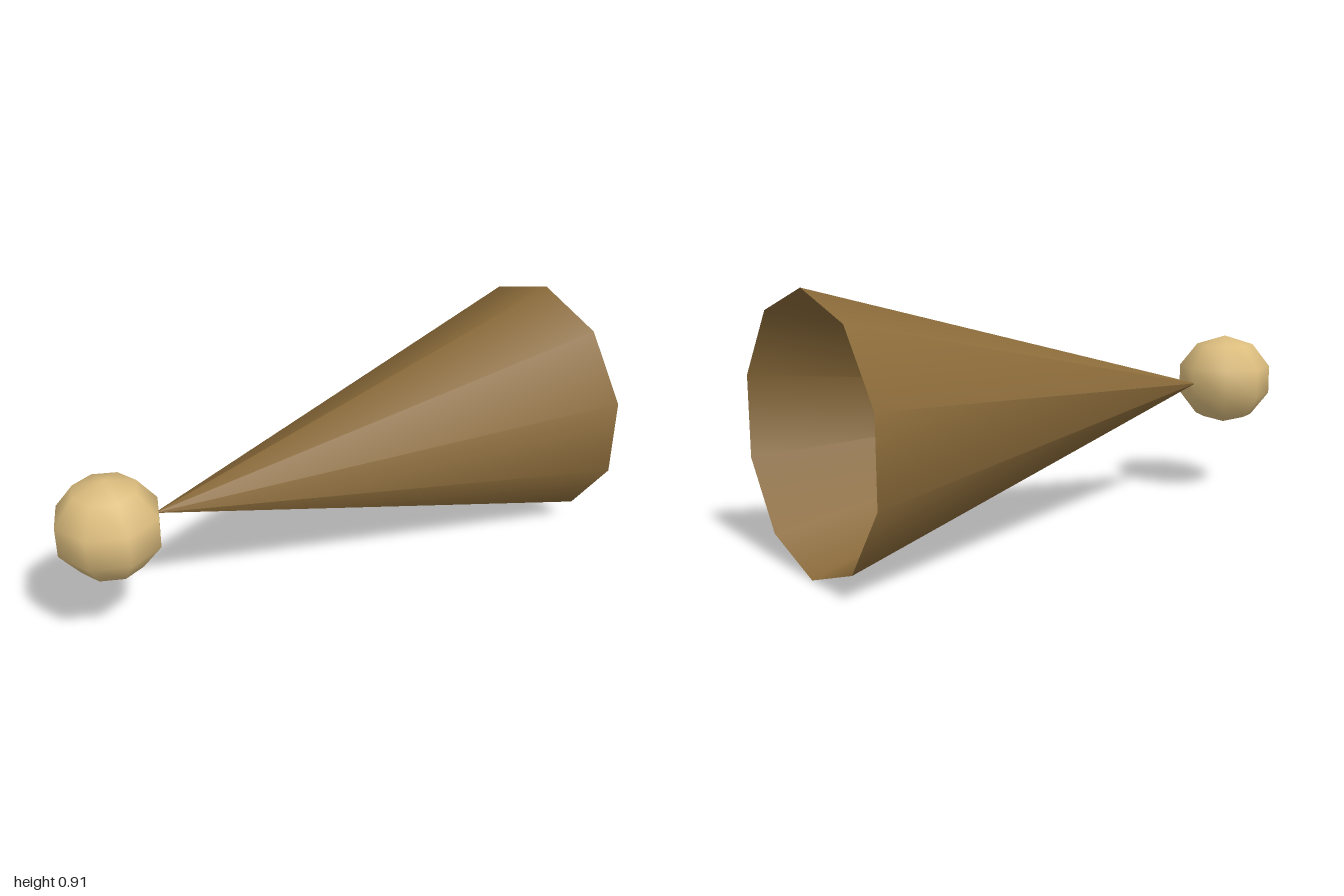
import * as THREE from 'three';

export function createModel() {
  const group = new THREE.Group();
  const axisY = 0.4535; // height of the shared centre line

  const wood = new THREE.MeshStandardMaterial({ color: 0x8b6b3a, side: THREE.DoubleSide });
  wood.name = 'brown';
  const pale = new THREE.MeshStandardMaterial({ color: 0xdcbd7e });
  pale.name = 'paleTan';

  // Open ten-sided cone: apex towards -x, mouth at x = 1, one corner straight up
  const tipX = -0.66;
  const length = 1 - tipX;
  const coneGeometry = new THREE.ConeGeometry(axisY, length, 10, 1, true, Math.PI / 2);
  coneGeometry.rotateZ(Math.PI / 2);
  const cone = new THREE.Mesh(coneGeometry, wood);
  cone.name = 'cone';
  cone.position.set(tipX + length / 2, axisY, 0);
  group.add(cone);

  // Low-poly ball, slightly squashed, touching the apex
  const ball = new THREE.Mesh(new THREE.SphereGeometry(0.187, 8, 5), pale);
  ball.name = 'ball';
  ball.scale.y = 0.935;
  ball.position.set(-0.822, 0.457, 0);
  group.add(ball);

  return group;
}
